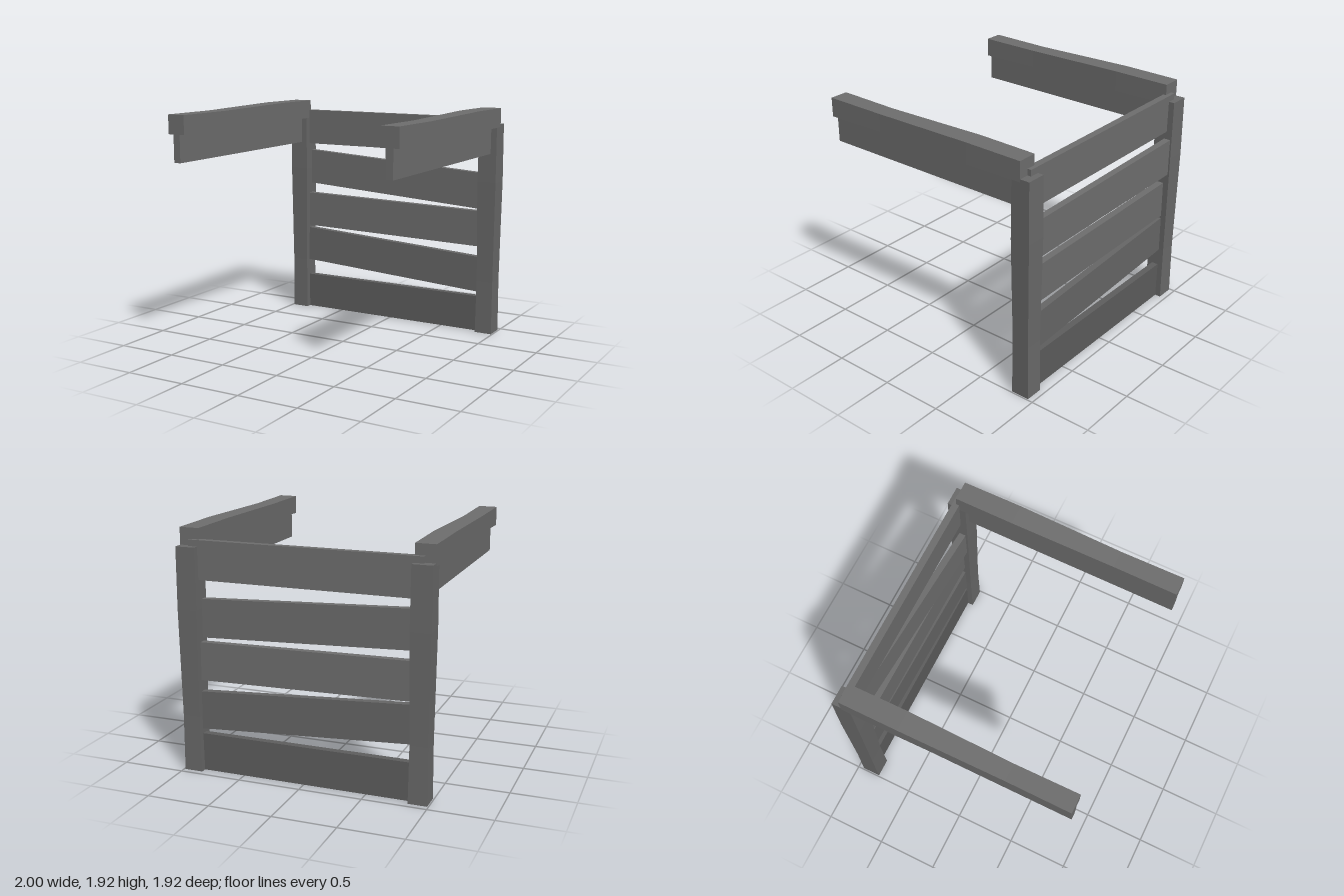
import * as THREE from 'three';

// Weathered greys, darker towards the ground
const paint = (color) => new THREE.MeshStandardMaterial({ color, flatShading: true });
const upperGrey = paint(0x6f6f6f);
const postGrey = paint(0x6a6a6a);
const lowerGrey = paint(0x676767);
const groundGrey = paint(0x5e5e5e);

// Hand-hewn beam along z, lofted through stations [z, xMin, xMax, yMin, yMax]
function beam(stations) {
  const n = stations.length - 1;
  const geo = new THREE.BoxGeometry(1, 1, 1, 1, 1, n);
  const p = geo.attributes.position;
  for (let i = 0; i < p.count; i++) {
    const [z, x0, x1, y0, y1] = stations[Math.round((p.getZ(i) + 0.5) * n)];
    p.setXYZ(i, p.getX(i) < 0 ? x0 : x1, p.getY(i) < 0 ? y0 : y1, z);
  }
  geo.computeVertexNormals();
  return geo;
}

function add(parent, name, geo, material) {
  const mesh = new THREE.Mesh(geo, material);
  mesh.name = name;
  parent.add(mesh);
}

// Board with bottom edge from yRight at -x to yLeft at +x, yawed by dz between its ends
function slat(yRight, yLeft, dz) {
  const geo = new THREE.BoxGeometry(1.83, 0.303, 0.055);
  const p = geo.attributes.position;
  for (let i = 0; i < p.count; i++) {
    const t = p.getX(i) / 1.68;
    p.setY(i, p.getY(i) + 0.1515 + (yRight + yLeft) / 2 + t * (yLeft - yRight));
    p.setZ(i, p.getZ(i) - 0.878 + t * dz);
  }
  geo.computeVertexNormals();
  return geo;
}

export function createModel() {
  const model = new THREE.Group();
  model.name = 'fenceFrame';

  // Slightly wavy posts: stations run upward once the beam is stood on end
  const post = beam([
    [0, 0.842, 0.99, 0.802, 0.953],
    [0.45, 0.847, 0.988, 0.807, 0.948],
    [1.3, 0.836, 0.997, 0.796, 0.956],
    [1.78, 0.84, 0.995, 0.8, 0.953],
  ]);
  post.rotateX(-Math.PI / 2); // (x, y, z) -> (x, z, -y)

  // Wavy top rails, reaching forward from the posts
  const rail = beam([
    [-0.875, 0.84, 0.997, 1.758, 1.914],
    [-0.4, 0.836, 0.998, 1.755, 1.919],
    [0.45, 0.847, 0.988, 1.767, 1.907],
    [0.96, 0.843, 0.992, 1.759, 1.911],
  ]);

  // Thin boards under the rails
  const board = beam([
    [-0.85, 0.887, 0.946, 1.54, 1.83],
    [0.959, 0.887, 0.946, 1.54, 1.83],
  ]);

  const sideParts = [
    ['post', post, postGrey],
    ['topRail', rail, upperGrey],
    ['railBoard', board, upperGrey],
  ];
  for (const side of [1, -1]) {
    const group = new THREE.Group();
    group.name = side > 0 ? 'leftSide' : 'rightSide';
    for (const [name, geo, material] of sideParts) {
      const g = geo.clone();
      if (side < 0) {
        // Mirror in x and restore the winding
        g.scale(-1, 1, 1);
        g.index.array.reverse();
        g.computeVertexNormals();
      }
      add(group, name, g, material);
    }
    model.add(group);
  }

  // Crooked back slats, bottom to top: bottom edge at each end, yaw, grey
  const slats = [
    [0, 0, 0, groundGrey],
    [0.444, 0.344, 0, lowerGrey],
    [0.769, 0.739, 0, upperGrey],
    [1.16, 1.07, 0.074, upperGrey],
    [1.526, 1.526, 0, upperGrey],
  ];
  slats.forEach(([yRight, yLeft, dz, material], i) =>
    add(model, `backSlat${i + 1}`, slat(yRight, yLeft, dz), material));

  return model;
}
